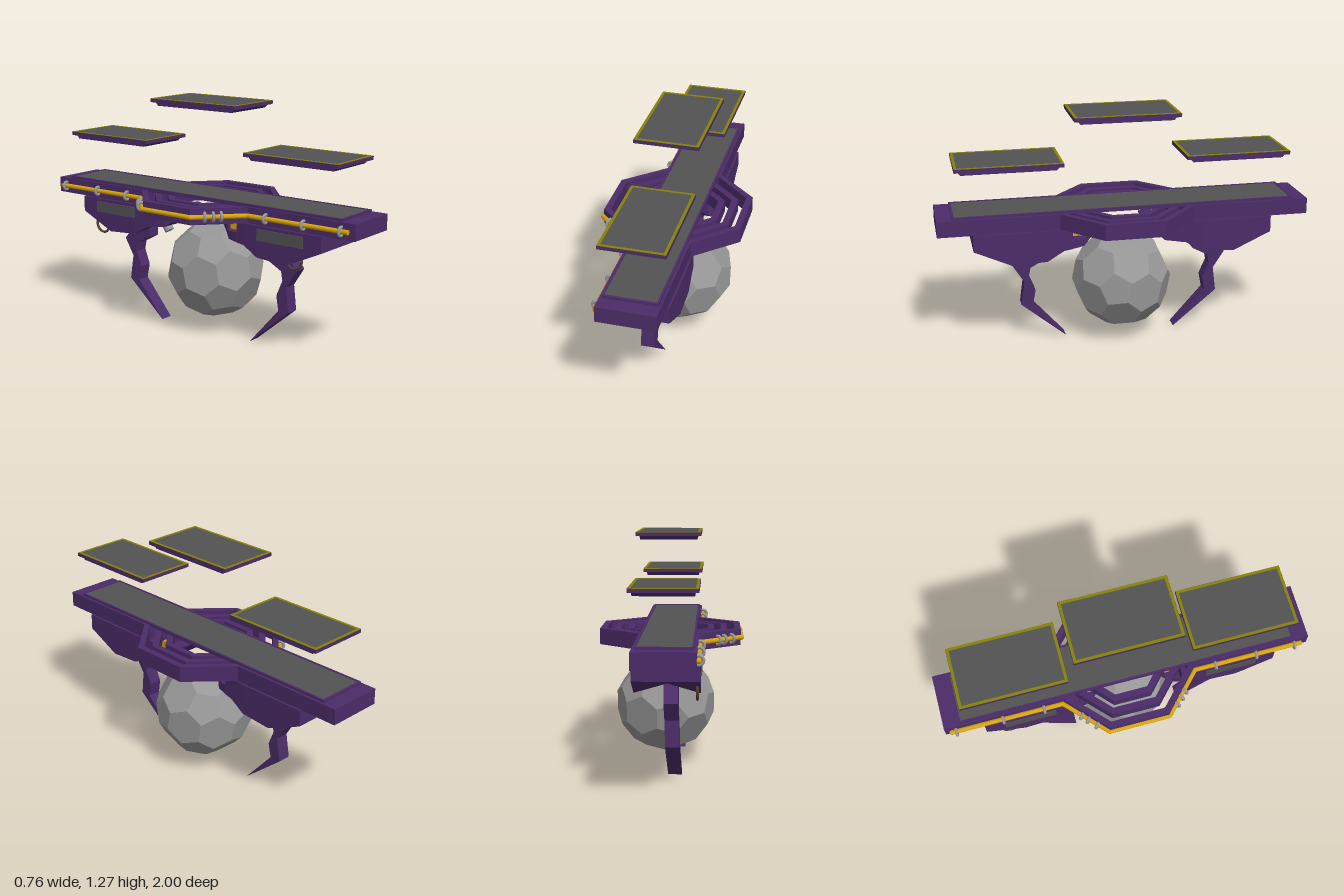
import * as THREE from 'three';
import { ConvexGeometry } from 'three/addons/geometries/ConvexGeometry.js';

const mat = (name, color, flat = true) => {
  const m = new THREE.MeshStandardMaterial({ color, flatShading: flat });
  m.name = name;
  return m;
};

export function createModel() {
  const purple = mat('purple', 0x4b2c68);
  const slate = mat('slate', 0x525254);
  const stone = mat('stone', 0x979797);
  const yellow = mat('yellow', 0xd6a40e, false);
  const olive = mat('olive', 0x858207);
  const steel = mat('steel', 0x9a9a9e, false);
  const bronze = mat('bronze', 0x54432f, false);

  const root = new THREE.Group();
  const add = (parent, name, geo, material, x = 0, y = 0, z = 0) => {
    const m = new THREE.Mesh(geo, material);
    m.name = name;
    m.position.set(x, y, z);
    parent.add(m);
    return m;
  };
  const box = (w, h, d) => new THREE.BoxGeometry(w, h, d);
  const pts = (list) => list.map(([a, b]) => new THREE.Vector2(a, b));

  // Horizontal slab from an (x, z) outline; its top lies at y = 0
  const slab = (outline, depth, hole) => {
    const s = new THREE.Shape(pts(outline));
    if (hole) s.holes.push(new THREE.Path(pts(hole)));
    return new THREE.ExtrudeGeometry(s, { depth, bevelEnabled: false }).rotateX(Math.PI / 2);
  };
  const rect = (x, z) => [[-x, -z], [x, -z], [x, z], [-x, z]];
  const octagon = (d) => {
    const x = 0.372 - d, z = 0.36 - d, c = 0.16 - 0.414 * d;
    return [[c, -z], [x, -c], [x, c], [c, z], [-c, z], [-x, c], [-x, -c], [-c, -z]];
  };

  // Main beam joined to the octagonal frame
  const w = 0.153;
  const outline = [[-w, -1], [w, -1], [w, -0.36], [0.372, -0.16], [0.372, 0.16], [w, 0.36],
    [w, 1], [-w, 1], [-w, 0.36], [-0.372, 0.16], [-0.372, -0.16], [-w, -0.36]];
  add(root, 'beamFrame', slab(outline, 0.085, octagon(0.034)), purple, 0.005, 0.757, 0);
  [0.073, 0.141].forEach((d) =>
    add(root, 'innerRing', slab(octagon(d), 0.07, octagon(d + 0.034)), purple, 0.005, 0.75, 0));

  // Deck panel set in a raised rim
  add(root, 'deckRim', slab(rect(0.141, 0.92), 0.02, rect(0.13, 0.907)), purple, 0.004, 0.77, 0);
  add(root, 'deckPanel', box(0.262, 0.012, 1.816), slate, 0.004, 0.761, 0);

  // Floating platforms with a chamfered underside
  [[1.035, 0.618], [1.268, 0], [1.035, -0.6]].forEach(([y, z]) => {
    const g = new THREE.Group();
    g.name = 'floatingPlatform';
    g.position.set(0.01, y, z);
    add(g, 'platformTop', box(0.336, 0.019, 0.564), purple, 0, -0.0095, 0);
    const base = box(0.296, 0.02, 0.53);
    const p = base.attributes.position;
    for (let i = 0; i < p.count; i++) if (p.getY(i) < 0) p.setZ(i, p.getZ(i) * 0.93);
    base.computeVertexNormals();
    add(g, 'platformBase', base, purple, 0, -0.028, 0);
    add(g, 'platformBorder', slab(rect(0.167, 0.281), 0.003, rect(0.152, 0.266)), olive, 0, 0.002, 0);
    add(g, 'platformPanel', box(0.306, 0.004, 0.534), slate, 0, -0.001, 0);
    root.add(g);
  });

  // Pod hull lofted through stations [z, half width, top, edge bottom, keel],
  // with a notch near the inner tip for the yellow block
  const podHull = () => {
    const stations = [[0.805, 0.165, 0.672, 0.585, 0.585], [0.6, 0.167, 0.672, 0.492, 0.54],
      [0.42, 0.165, 0.672, 0.503, 0.535], [0.33, 0.16, 0.672, 0.555, 0.555], [0.285, 0.155, 0.672, 0.56, 0.56],
      [0.28, 0.155, 0.615, 0.562, 0.562], [0.22, 0.14, 0.612, 0.568, 0.568], [0.2, 0.125, 0.612, 0.585, 0.585],
      [0.195, 0.12, 0.672, 0.59, 0.59], [0.12, 0.08, 0.672, 0.664, 0.664]];
    const pos = [], idx = [], n = 5;
    stations.forEach(([z, hw, t, b, c]) =>
      pos.push(hw, t, z, -hw, t, z, -hw, b, z, 0, c, z, hw, b, z));
    for (let i = 0; i < stations.length - 1; i++) {
      for (let j = 0; j < n; j++) {
        const a = i * n + j, b = i * n + (j + 1) % n;
        idx.push(a, a + n, b, b, a + n, b + n);
      }
    }
    const e = (stations.length - 1) * n;
    [[0, 1, 3], [1, 2, 3], [0, 3, 4]].forEach(([a, b, c]) => {
      idx.push(a, b, c, e + a, e + c, e + b);
    });
    const g = new THREE.BufferGeometry();
    g.setAttribute('position', new THREE.Float32BufferAttribute(pos, 3));
    g.setIndex(idx);
    const flat = g.toNonIndexed();
    flat.computeVertexNormals();
    return flat;
  };

  // Hooked claw: side profile in (z, y), extruded across x and leaning slightly
  const clawGeometry = (s) => {
    const profile = [[0.59, 0.435], [0.535, 0.5], [0.5, 0.545], [0.43, 0.545], [0.41, 0.508], [0.41, 0.465],
      [0.495, 0.42], [0.505, 0.37], [0.47, 0.285], [0.485, 0.205], [0.307, 0.002], [0.548, 0.205], [0.53, 0.34]];
    const g = new THREE.ExtrudeGeometry(new THREE.Shape(pts(profile)), { depth: 0.074, bevelEnabled: false });
    g.translate(0, 0, -0.037).rotateY(-Math.PI / 2);
    const p = g.attributes.position;
    for (let i = 0; i < p.count; i++) {
      p.setX(i, p.getX(i) + s * (-0.029 + 0.028 * p.getY(i)));
    }
    g.computeVertexNormals();
    return g;
  };

  // Two pods with claws; the rear one is turned half round
  [1, -1].forEach((s) => {
    const pod = new THREE.Group();
    pod.name = s > 0 ? 'frontPod' : 'rearPod';
    pod.position.set(0.003, 0, 0.012);
    if (s < 0) pod.rotation.y = Math.PI;
    add(pod, 'podHull', podHull(), purple);
    add(pod, 'claw', clawGeometry(s), purple);
    add(pod, 'podSidePanel', box(0.008, 0.06, 0.28), slate, -s * 0.168, 0.625, 0.56);
    add(pod, 'marker', box(0.2, 0.058, 0.076), yellow, 0, 0.642, 0.24);
    add(pod, 'nozzle', new THREE.CylinderGeometry(0.026, 0.026, 0.075, 16), steel, -s * 0.02, 0.547, s > 0 ? 0.29 : 0.308)
      .rotation.x = 0.6;
    add(pod, 'hangingRing', new THREE.TorusGeometry(0.046, 0.007, 8, 28), bronze, -s * 0.15, 0.522, s > 0 ? 0.638 : 0.672)
      .rotation.y = Math.PI / 2;
    root.add(pod);
  });

  // Pipe along the right side, bent around the frame
  const path = [[-0.157, -0.965], [-0.157, -0.365], [-0.37, -0.163], [-0.37, 0.163], [-0.157, 0.365], [-0.157, 0.965]]
    .map(([x, z]) => new THREE.Vector3(x, 0.713, z));
  const up = new THREE.Vector3(0, 1, 0), forward = new THREE.Vector3(0, 0, 1);
  for (let i = 0; i < path.length - 1; i++) {
    const dir = path[i + 1].clone().sub(path[i]);
    const mid = path[i].clone().addScaledVector(dir, 0.5);
    add(root, 'pipe', new THREE.CylinderGeometry(0.013, 0.013, dir.length(), 12), yellow, ...mid.toArray())
      .quaternion.setFromUnitVectors(up, dir.clone().normalize());
    add(root, 'pipeJoint', new THREE.SphereGeometry(0.0135, 12, 8), yellow, ...path[i].toArray());
  }

  // Clamp rings on the pipe: [segment, fraction along it]
  [[0, 0.04], [0, 0.46], [0, 0.83], [1, 0.42], [1, 0.56], [1, 0.75], [3, 0.25], [3, 0.4], [3, 0.54],
    [4, 0.19], [4, 0.57], [4, 0.93]].forEach(([i, t]) => {
    const dir = path[i + 1].clone().sub(path[i]);
    const p = path[i].clone().addScaledVector(dir, t);
    add(root, 'pipeClamp', new THREE.TorusGeometry(0.022, 0.008, 8, 20), steel, ...p.toArray())
      .quaternion.setFromUnitVectors(forward, dir.normalize());
  });

  // Faceted ball: an icosahedron with its corners cut off
  const phi = (1 + Math.sqrt(5)) / 2;
  const corners = [];
  for (const a of [-1, 1]) {
    for (const b of [-phi, phi]) {
      corners.push(new THREE.Vector3(0, a, b), new THREE.Vector3(a, b, 0), new THREE.Vector3(b, 0, a));
    }
  }
  const cut = [];
  corners.forEach((p) => corners.forEach((q) => {
    if (p !== q && p.distanceTo(q) < 2.1) cut.push(p.clone().lerp(q, 1 / 3).setLength(0.27));
  }));
  add(root, 'ball', new ConvexGeometry(cut), stone, 0.037, 0.337, 0.01).rotation.set(0.35, 0.3, 0.2);

  return root;
}
